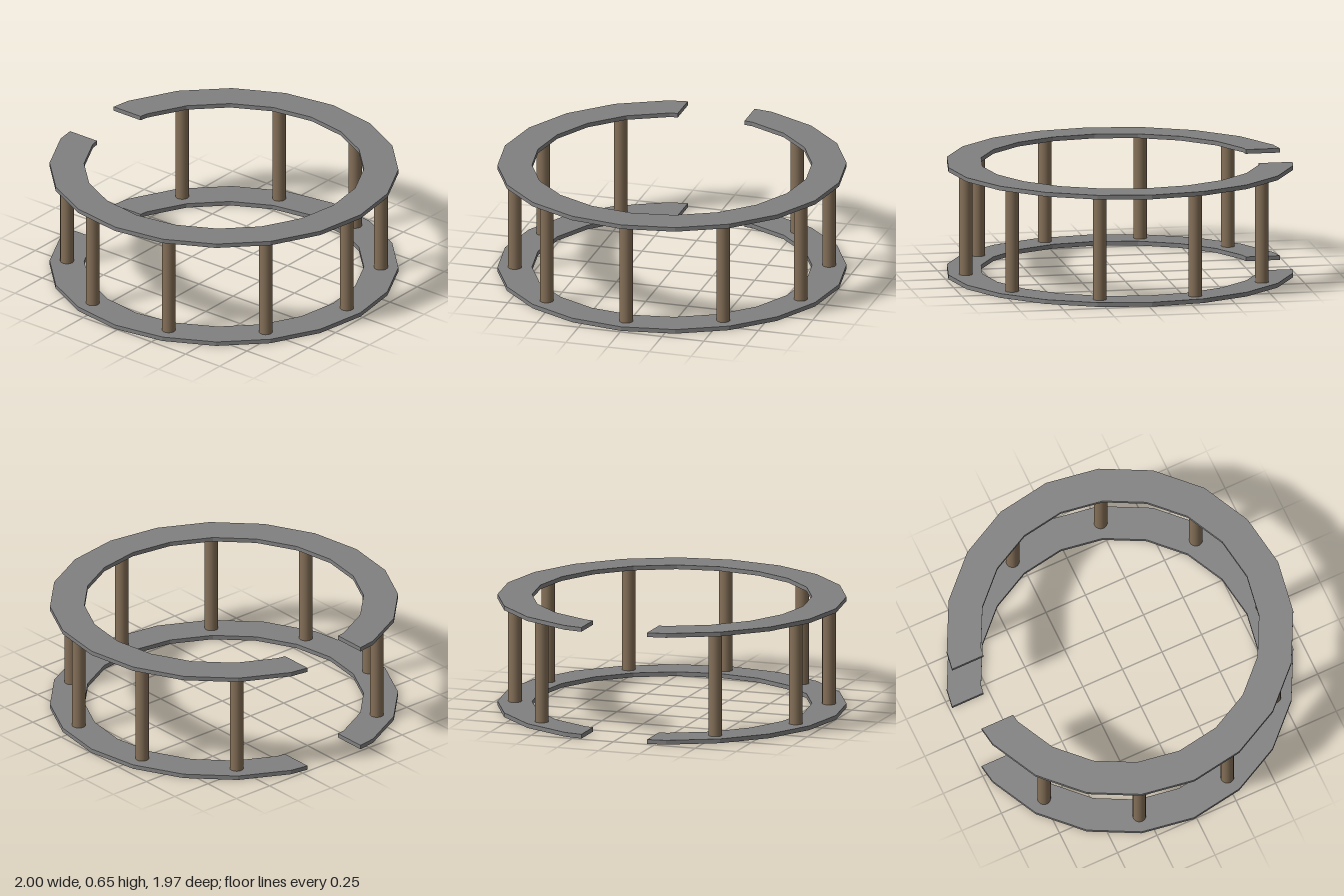
import * as THREE from 'three';

const CENTER_Z = -0.016; // ring centre, shifted by the gap cut at the back
const THICK = 0.025;
const HEIGHT = 0.652;
const GAP = 0.2; // half width of the gap
const SIDES = 20;

// Points of one polygonal arc, ending on the straight cuts at x = +/-GAP.
// Shape y points to the back of the model.
function arcPoints(radius) {
  const step = (2 * Math.PI) / SIDES;
  const corner = (i) => new THREE.Vector2(radius * Math.sin(i * step), -radius * Math.cos(i * step));
  const last = SIDES / 2 - 1;
  const a = corner(last), b = corner(last + 1);
  const end = a.clone().lerp(b, (a.x - GAP) / (a.x - b.x));
  const points = [new THREE.Vector2(-end.x, end.y)];
  for (let i = -last; i <= last; i++) points.push(corner(i));
  points.push(end);
  return points;
}

export function createModel() {
  const model = new THREE.Group();
  model.name = 'openRingFrame';
  const grey = new THREE.MeshStandardMaterial({ color: 0x808080, flatShading: true });
  const brown = new THREE.MeshStandardMaterial({ color: 0x857058 });

  // Two flat open rings
  const outline = new THREE.Shape([...arcPoints(1), ...arcPoints(0.802).reverse()]);
  const ringGeometry = new THREE.ExtrudeGeometry(outline, { depth: THICK, bevelEnabled: false });
  ringGeometry.rotateX(-Math.PI / 2);
  for (const [name, y] of [['lowerRing', 0], ['upperRing', HEIGHT - THICK]]) {
    const ring = new THREE.Mesh(ringGeometry, grey);
    ring.name = name;
    ring.position.set(0, y, CENTER_Z);
    model.add(ring);
  }

  // Nine posts, a tenth of a turn apart, none at the gap
  const postGeometry = new THREE.CylinderGeometry(0.039, 0.039, HEIGHT - 2 * THICK, 20);
  for (let i = -4; i <= 4; i++) {
    const angle = (i * Math.PI) / 5;
    const post = new THREE.Mesh(postGeometry, brown);
    post.name = `post${i + 5}`;
    post.position.set(0.9 * Math.sin(angle), HEIGHT / 2, CENTER_Z + 0.9 * Math.cos(angle));
    model.add(post);
  }
  return model;
}
